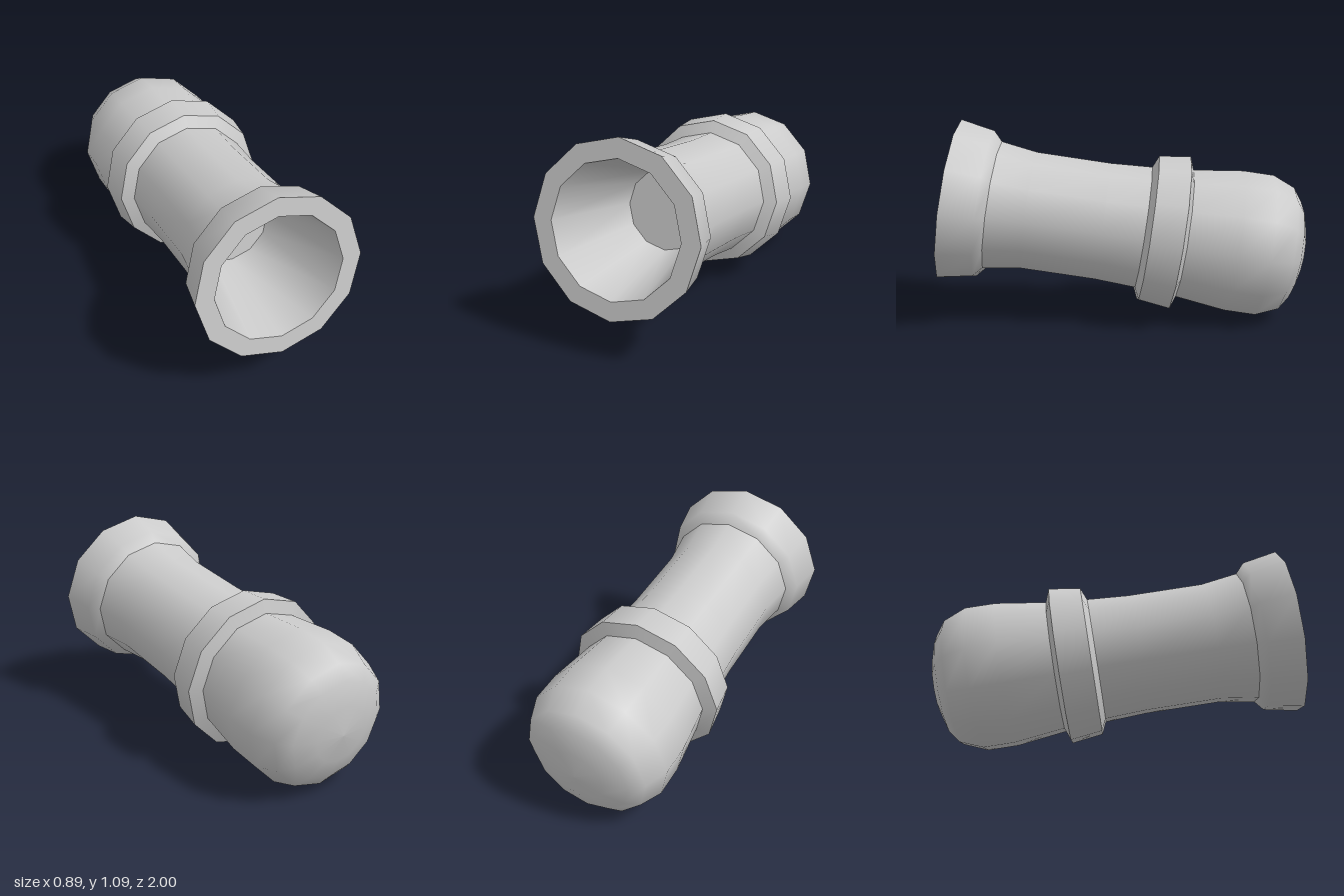
import * as THREE from 'three';

const SIDES = 12;
const TILT = THREE.MathUtils.degToRad(8.6);
const material = new THREE.MeshStandardMaterial({ color: 0xcccccc });

// Profile points are [radius, distance behind the muzzle], from breech to muzzle.
// Each strip is smooth within itself and creased where it meets the next.
function strip(name, profile) {
  const points = profile.map(([r, s]) => new THREE.Vector2(r, -s));
  const mesh = new THREE.Mesh(new THREE.LatheGeometry(points, SIDES), material);
  mesh.name = name;
  return mesh;
}

export function createModel() {
  const cannon = new THREE.Group();
  cannon.name = 'cannonBarrel';

  // Rounded breech
  cannon.add(strip('breech', [
    [0, 1.945], [0.155, 1.93], [0.272, 1.892], [0.344, 1.84],
    [0.395, 1.717], [0.395, 1.55], [0.359, 1.28],
  ]));

  // Reinforcing band with bevelled sides
  const band = new THREE.Group();
  band.name = 'band';
  band.add(
    strip('bandRearBevel', [[0.359, 1.28], [0.429, 1.254]]),
    strip('bandFace', [[0.429, 1.254], [0.406, 1.084]]),
    strip('bandFrontBevel', [[0.406, 1.084], [0.341, 1.056]]),
  );
  cannon.add(band);

  // Waisted barrel
  cannon.add(strip('barrel', [[0.341, 1.056], [0.328, 0.832], [0.328, 0.427], [0.357, 0.23]]));

  // Flared muzzle collar, flat rim and tapered bore
  cannon.add(
    strip('muzzleCollar', [[0.357, 0.23], [0.409, 0.184], [0.443, 0]]),
    strip('muzzleRim', [[0.443, 0], [0.344, 0]]),
    strip('bore', [[0.344, 0], [0.217, 0.55]]),
    strip('boreFloor', [[0.217, 0.55], [0, 0.55]]),
  );

  // Lay the barrel forward, muzzle raised
  cannon.rotation.x = Math.PI / 2 - TILT;
  cannon.position.set(0, 0.652, 0.9325);

  const model = new THREE.Group();
  model.add(cannon);
  return model;
}
